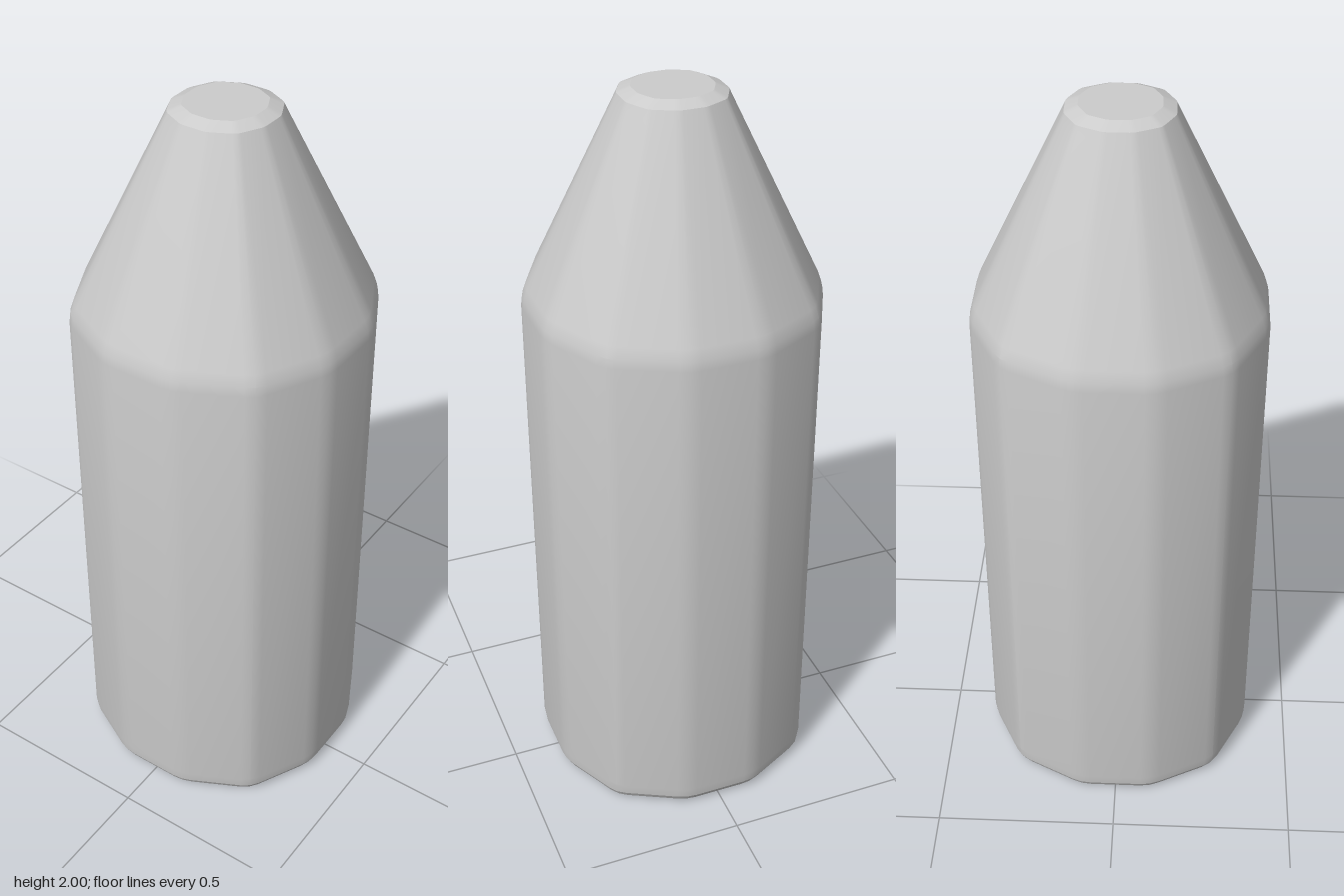
import * as THREE from 'three';
import { toCreasedNormals } from 'three/addons/utils/BufferGeometryUtils.js';

// Twelve-sided outline with softened corners, 0.38 from centre to flat
function outline() {
  const corners = [];
  for (let i = 0; i < 12; i++) {
    const a = (15 + 30 * i) * Math.PI / 180;
    const r = i % 3 === 1 ? 0.405 : 0.3935;
    corners.push(new THREE.Vector2(Math.cos(a) * r, Math.sin(a) * r));
  }
  const points = [];
  corners.forEach((c, i) => {
    const before = c.clone().lerp(corners[(i + 11) % 12], 0.14);
    const after = c.clone().lerp(corners[(i + 1) % 12], 0.14);
    points.push(...new THREE.QuadraticBezierCurve(before, c, after).getPoints(2));
  });
  return points;
}

// Joins scaled copies of the outline, [half width, height], and caps both ends
function loft(profile) {
  const ring = outline();
  const n = ring.length;
  const pos = [];
  const index = [];
  for (const [w, y] of profile) {
    for (const p of ring) pos.push(p.x * w / 0.38, y, p.y * w / 0.38);
  }
  for (let j = 0; j < profile.length - 1; j++) {
    for (let i = 0; i < n; i++) {
      const a = j * n + i, b = j * n + (i + 1) % n;
      index.push(a, a + n, b, b, a + n, b + n);
    }
  }
  const last = (profile.length - 1) * n;
  const bottom = pos.length / 3;
  pos.push(0, profile[0][1], 0, 0, profile[profile.length - 1][1], 0);
  for (let i = 0; i < n; i++) {
    const k = (i + 1) % n;
    index.push(bottom, i, k, bottom + 1, last + k, last + i);
  }
  const geometry = new THREE.BufferGeometry();
  geometry.setAttribute('position', new THREE.Float32BufferAttribute(pos, 3));
  geometry.setIndex(index);
  return toCreasedNormals(geometry, 0.35);
}

export function createModel() {
  const group = new THREE.Group();
  group.name = 'taperedBottle';
  // Bevelled base, straight wall, soft shoulder, cone and blunt tip
  const body = new THREE.Mesh(
    loft([
      [0.345, 0], [0.366, 0.012], [0.376, 0.03], [0.38, 0.06],
      [0.38, 1.43], [0.377, 1.455], [0.367, 1.485],
      [0.142, 1.965], [0.133, 1.985], [0.1, 2],
    ]),
    new THREE.MeshStandardMaterial({ color: 0xcccccc })
  );
  body.name = 'body';
  group.add(body);
  return group;
}
